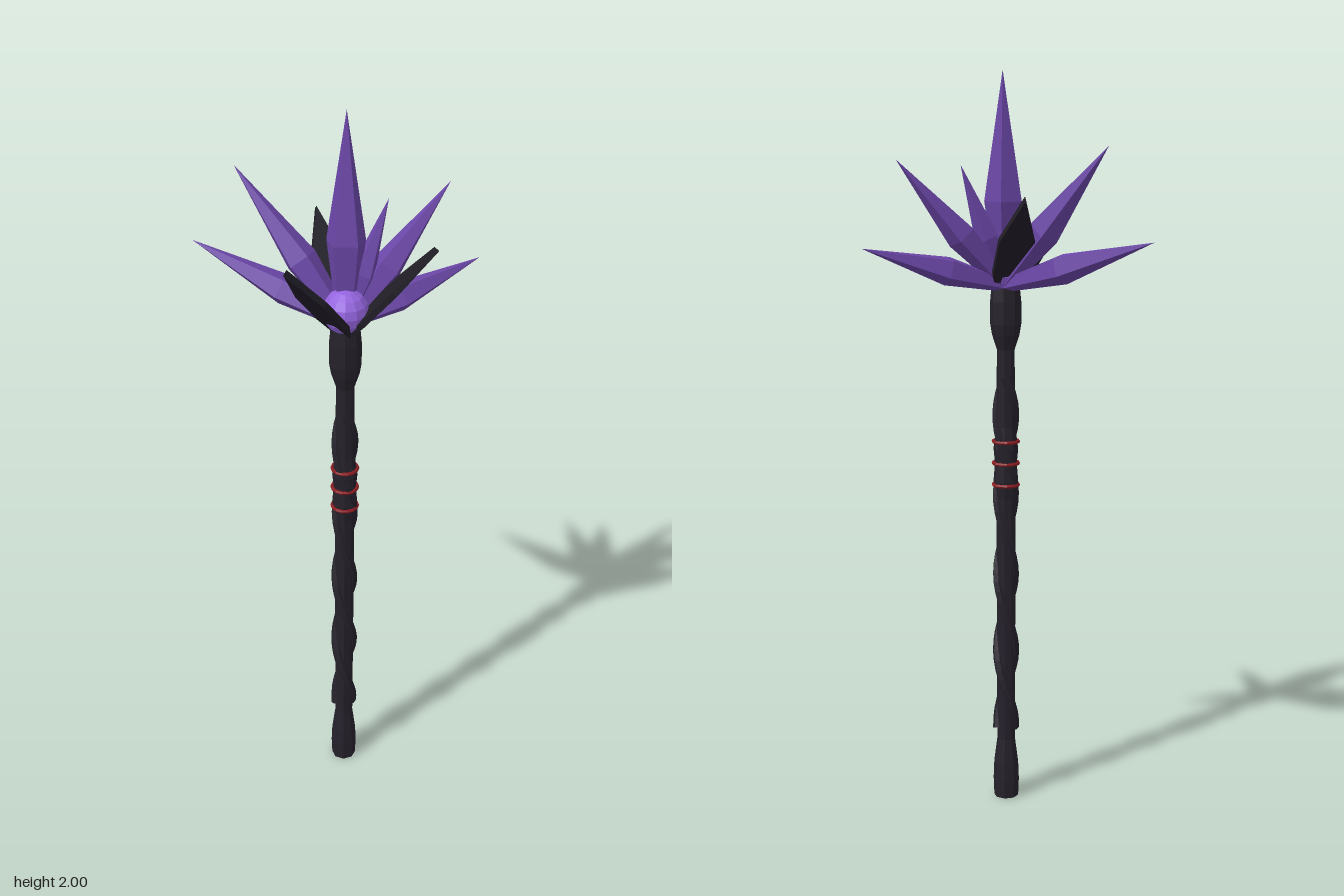
import * as THREE from 'three';

const mat = (color, side = THREE.FrontSide) =>
  new THREE.MeshStandardMaterial({ color, flatShading: true, side });

const darkWood = mat(0x25212b);
const leafBlack = mat(0x211e27);
const violet = mat(0x6a46a6);
const lilac = mat(0x9464de);
const red = mat(0x8a1c22);

// Lathe from [radius, height] pairs, listed bottom to top
const lathe = (pairs, sides) =>
  new THREE.LatheGeometry(pairs.map(([r, y]) => new THREE.Vector2(r, y)), sides);

function add(parent, name, geometry, material) {
  const mesh = new THREE.Mesh(geometry, material);
  mesh.name = name;
  parent.add(mesh);
  return mesh;
}

// Five-sided crystal running from a base point to a tip
function addCrystal(parent, name, tip, radius) {
  const base = new THREE.Vector3(0, 1.445, -0.02);
  const dir = new THREE.Vector3(...tip).sub(base);
  const len = dir.length();
  const geo = lathe([[0, 0], [radius * 0.45, 0], [radius, len * 0.4], [0, len]], 5);
  geo.rotateY(Math.PI);
  const mesh = add(parent, name, geo, violet);
  mesh.position.copy(base);
  mesh.quaternion.setFromUnitVectors(new THREE.Vector3(0, 1, 0), dir.normalize());
}

// Flat pointed leaf standing along +y, with a little thickness
function leafGeometry(length) {
  const s = new THREE.Shape();
  s.moveTo(-0.025, 0);
  s.lineTo(0.025, 0);
  s.lineTo(0.047, length * 0.22);
  s.lineTo(0.047, length * 0.58);
  s.lineTo(0, length);
  s.lineTo(-0.047, length * 0.58);
  s.lineTo(-0.047, length * 0.22);
  s.closePath();
  const geo = new THREE.ExtrudeGeometry(s, { depth: 0.016, bevelEnabled: false });
  return geo.translate(0, 0, -0.008);
}

// Helical vine hugging the shaft
function vineGeometry(phase) {
  const points = [];
  const steps = 26, y0 = 0.2, y1 = 1.2, pitch = 0.44;
  for (let i = 0; i <= steps; i++) {
    const y = y0 + (y1 - y0) * i / steps;
    const a = phase + (y - 0.22) / pitch * Math.PI * 2;
    points.push(new THREE.Vector3(Math.cos(a) * 0.023, y, Math.sin(a) * 0.023));
  }
  return new THREE.TubeGeometry(new THREE.CatmullRomCurve3(points), 40, 0.014, 6);
}

export function createModel() {
  const model = new THREE.Group();
  model.name = 'crystalStaff';
  const staff = new THREE.Group();
  staff.name = 'staff';
  staff.position.set(0.03, 0, 0.03);
  model.add(staff);

  // Shaft with a flared foot and a thicker collar
  add(staff, 'shaft', lathe([
    [0, 0], [0.034, 0], [0.036, 0.05], [0.034, 0.1], [0.025, 0.17],
    [0.026, 0.6], [0.026, 0.86], [0.034, 0.91], [0.03, 0.96], [0.034, 1.0],
    [0.026, 1.06], [0.024, 1.27], [0.037, 1.31], [0.042, 1.34], [0.042, 1.4],
    [0.037, 1.45], [0, 1.45],
  ], 8), darkWood);

  // Entwined vines
  for (let i = 0; i < 2; i++) add(staff, 'vine', vineGeometry(i * Math.PI), darkWood);

  // Thin binding rings
  for (const y of [0.9, 0.96, 1.02]) {
    const ring = add(staff, 'bindingRing', new THREE.TorusGeometry(0.034, 0.005, 6, 14), red);
    ring.rotation.x = Math.PI / 2;
    ring.position.y = y;
  }

  // Three black leaves around the head, leaning outward
  const reach = 0.225, rise = 0.26;
  for (let i = 0; i < 3; i++) {
    const holder = new THREE.Group();
    holder.name = 'leafHolder';
    holder.rotation.y = Math.PI / 2 - THREE.MathUtils.degToRad(9 + i * 120);
    holder.position.y = 1.42;
    staff.add(holder);
    const leaf = add(holder, 'leaf', leafGeometry(Math.hypot(reach, rise)), leafBlack);
    leaf.rotation.x = Math.atan2(reach, rise);
  }

  // Orb at the heart of the head
  const orb = add(staff, 'orb', new THREE.SphereGeometry(0.06, 12, 8), lilac);
  orb.position.set(0, 1.49, 0);

  // Crystal fan behind the orb (tips relative to the staff axis)
  addCrystal(staff, 'centerCrystal', [0, 2.0, -0.05], 0.052);
  addCrystal(staff, 'upperRightCrystal', [-0.285, 1.81, -0.17], 0.044);
  addCrystal(staff, 'upperLeftCrystal', [0.26, 1.775, -0.16], 0.042);
  addCrystal(staff, 'outerRightCrystal', [-0.405, 1.575, -0.23], 0.042);
  addCrystal(staff, 'outerLeftCrystal', [0.345, 1.55, -0.195], 0.04);
  addCrystal(staff, 'smallCrystal', [0.105, 1.76, -0.085], 0.034);

  return model;
}
